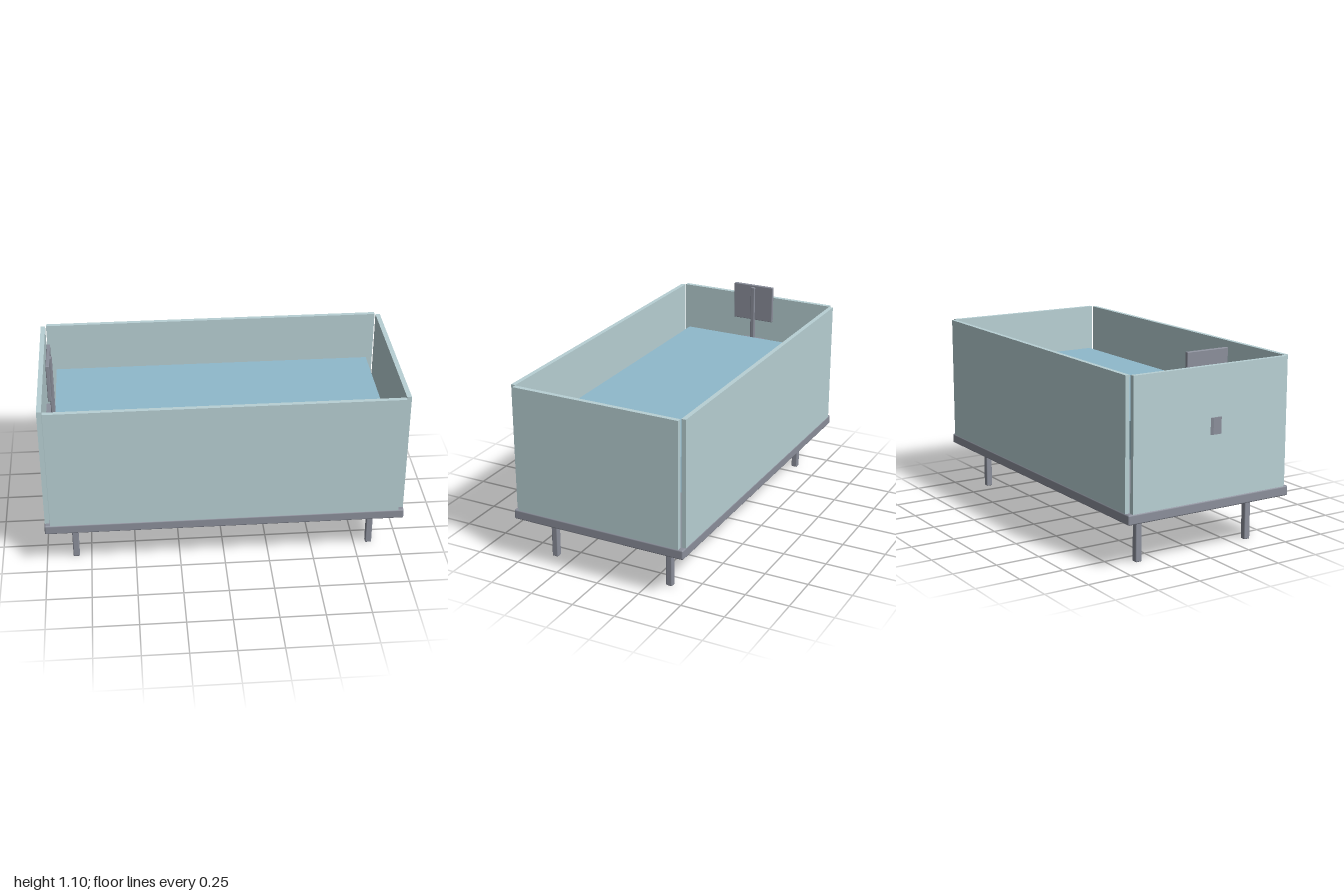
import * as THREE from 'three';
import { RoundedBoxGeometry } from 'three/addons/geometries/RoundedBoxGeometry.js';

export function createModel() {
  const model = new THREE.Group();
  model.name = 'tank';

  const material = (name, color) => {
    const m = new THREE.MeshStandardMaterial({ color });
    m.name = name;
    return m;
  };
  const metal = material('grey metal', 0x8b8f9b);
  const glass = material('pale glass', 0xb8d0d4);
  const water = material('blue water', 0x8fb9cc);

  const add = (name, geometry, mat, x, y, z) => {
    const mesh = new THREE.Mesh(geometry, mat);
    mesh.name = name;
    mesh.position.set(x, y, z);
    model.add(mesh);
    return mesh;
  };
  const rounded = (w, h, d, r) => new RoundedBoxGeometry(w, h, d, 2, r);

  // Base tray
  add('base', rounded(1.99, 0.055, 1.02, 0.008), metal, 0, 0.288, 0);

  // Legs, set slightly below the tray
  for (const x of [-0.835, 0.835]) {
    for (const z of [-0.353, 0.353]) {
      add('leg', rounded(0.036, 0.225, 0.036, 0.006), metal, x, 0.1125, z);
    }
  }

  // Four glass walls with open corners
  for (const s of [-1, 1]) {
    add('longWall', new THREE.BoxGeometry(1.925, 0.712, 0.025), glass, 0, 0.671, s * 0.4975);
    add('endWall', new THREE.BoxGeometry(0.026, 0.712, 0.965), glass, s * 0.98, 0.671, 0);
  }

  // Water block
  add('water', new THREE.BoxGeometry(1.83, 0.2, 0.86), water, 0, 0.67, 0);

  // Panel and its post inside the end wall
  add('panel', rounded(0.02, 0.22, 0.255, 0.004), metal, -0.937, 0.991, 0);
  add('panelPost', rounded(0.024, 0.42, 0.026, 0.005), metal, -0.928, 0.88, 0);

  // Tapered bracket passing through the end wall
  const outline = new THREE.Shape();
  outline.moveTo(-0.94, -0.07);
  outline.lineTo(-0.94, 0.07);
  outline.lineTo(-0.965, 0.065);
  outline.lineTo(-1, 0.055);
  outline.lineTo(-1, 0.005);
  outline.lineTo(-0.965, -0.065);
  const bracket = new THREE.ExtrudeGeometry(outline, { depth: 0.09, bevelEnabled: false });
  bracket.rotateX(Math.PI / 2); // outline y becomes z
  add('bracket', bracket, metal, 0, 0.755, 0);

  return model;
}
